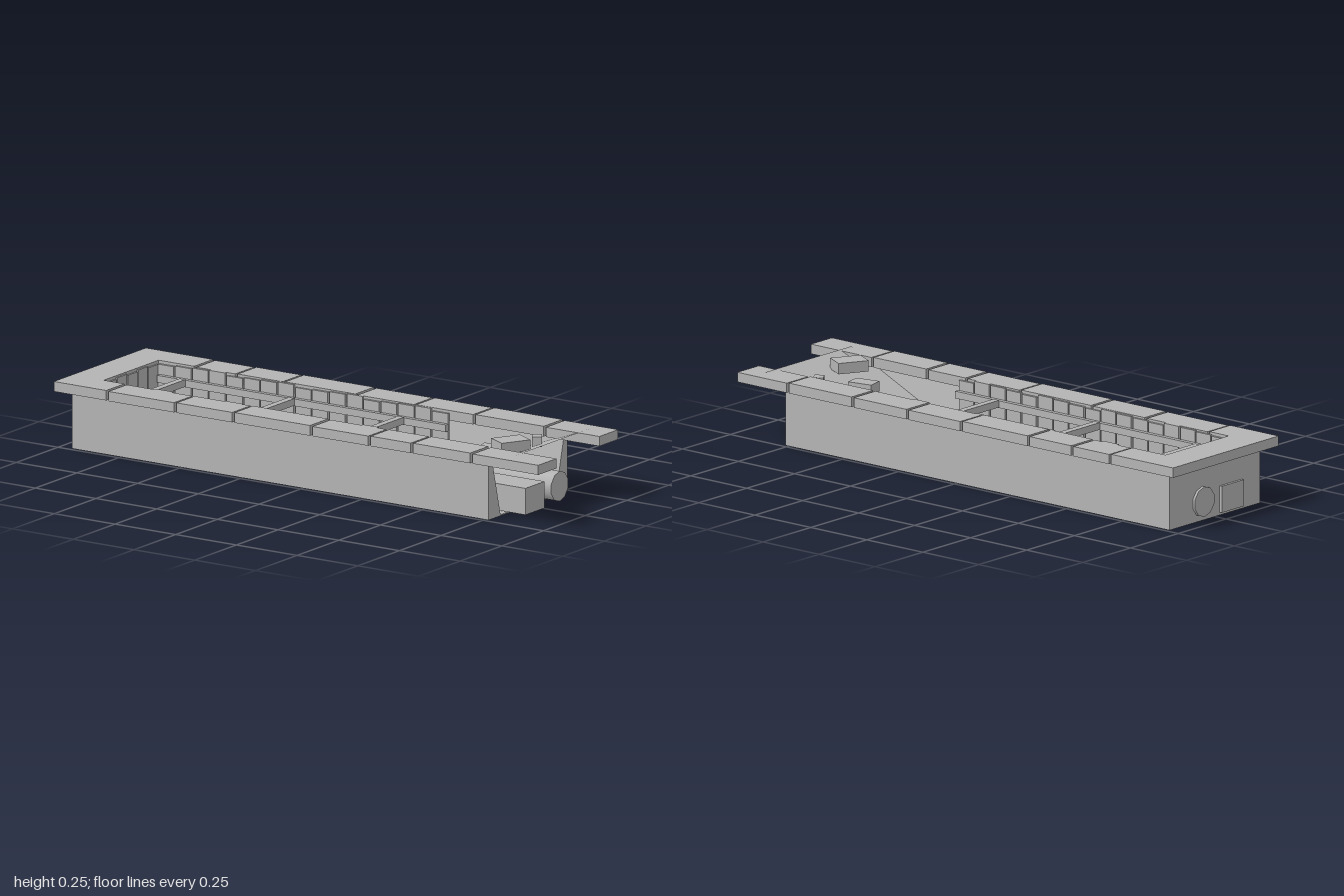
import * as THREE from 'three';

const stone = new THREE.MeshStandardMaterial({ name: 'grey', color: 0xb4b4b4 });
const sheet = new THREE.MeshStandardMaterial({ name: 'greySheet', color: 0xb4b4b4, side: THREE.DoubleSide });
const dark = new THREE.MeshStandardMaterial({ name: 'darkRubber', color: 0x303030 });

export function createModel() {
  const model = new THREE.Group();
  model.name = 'utilityTrench';

  const add = (name, geometry, material = stone) => {
    const mesh = new THREE.Mesh(geometry, material);
    mesh.name = name;
    model.add(mesh);
    return mesh;
  };
  // Box given by its limits on each axis
  const box = (name, x0, x1, y0, y1, z0, z1, material) => {
    const mesh = add(name, new THREE.BoxGeometry(x1 - x0, y1 - y0, z1 - z0), material);
    mesh.position.set((x0 + x1) / 2, (y0 + y1) / 2, (z0 + z1) / 2);
    return mesh;
  };
  // Round bar lying along x
  const bar = (name, x0, x1, y, z, r, sides) => {
    const geometry = new THREE.CylinderGeometry(r, r, x1 - x0, sides);
    geometry.rotateY(Math.PI / 2).rotateZ(Math.PI / 2);
    const mesh = add(name, geometry);
    mesh.position.set((x0 + x1) / 2, y, z);
    return mesh;
  };
  const polygon = (points) => new THREE.Shape(points.map(([a, b]) => new THREE.Vector2(a, b)));

  // Trench shell: floor, end wall and battered side walls
  box('floor', -0.95, 0.765, 0, 0.004, -0.17, 0.17);
  box('endWall', -0.95, -0.872, 0, 0.2, -0.236, 0.236);
  for (const s of [-1, 1]) {
    const profile = polygon([[0.237 * s, 0], [0.237 * s, 0.2], [0.215 * s, 0.2], [0.165 * s, 0]]);
    const geometry = new THREE.ExtrudeGeometry(profile, { depth: 1.715, bevelEnabled: false });
    geometry.rotateY(Math.PI / 2).translate(-0.95, 0, 0);
    add('sideWall', geometry);
  }

  // Paving around the rim: a U-shaped end slab and two rows of slabs
  const rim = polygon([
    [-1, -0.278], [-0.724, -0.278], [-0.724, -0.165], [-0.87, -0.165],
    [-0.87, 0.165], [-0.784, 0.165], [-0.784, 0.275], [-1, 0.275],
  ]);
  const rimGeometry = new THREE.ExtrudeGeometry(rim, { depth: 0.035, bevelEnabled: false });
  rimGeometry.rotateX(Math.PI / 2).translate(0, 0.236, 0);
  add('endSlab', rimGeometry);
  const slabRow = (joints, z0, z1) => {
    for (let i = 0; i < joints.length - 1; i++) {
      const end = joints[i + 1] - (i < joints.length - 2 ? 0.005 : 0);
      box('pavingSlab', joints[i] + 0.005, end, 0.2, 0.234 + (i % 3) * 0.001, z0, z1);
    }
  };
  slabRow([-0.72, -0.55, -0.355, -0.055, 0.185, 0.43, 0.72, 0.945], -0.278, -0.165);
  slabRow([-0.78, -0.5, -0.26, 0.06, 0.3, 0.475, 0.72, 0.995], 0.165, 0.275);

  // Earth ramp closing the open end
  const ramp = new THREE.BufferGeometry();
  ramp.setAttribute('position', new THREE.Float32BufferAttribute([
    0.25, 0, 0.165, 0.865, 0.237, 0.224, 0.865, 0.237, -0.224, 0.25, 0, -0.165,
  ], 3));
  ramp.setIndex([0, 1, 2, 0, 2, 3]);
  ramp.computeVertexNormals();
  add('earthRamp', ramp, sheet);

  // Loose stones on the ramp: x, y, z, width, height, depth, turn
  for (const [x, y, z, w, h, d, turn] of [
    [0.74, 0.226, 0.068, 0.08, 0.038, 0.11, -0.5],
    [0.733, 0.203, -0.1, 0.035, 0.035, 0.04, 0.6],
    [0.635, 0.177, 0.02, 0.09, 0.036, 0.06, 0.2],
    [0.57, 0.143, -0.065, 0.042, 0.034, 0.062, 0.2],
    [0.522, 0.123, 0.045, 0.038, 0.032, 0.055, 0.1],
  ]) {
    const rock = add('looseStone', new THREE.BoxGeometry(w, h, d));
    rock.position.set(x, y, z);
    rock.rotation.y = turn;
  }

  // Upright shoring boards on the sides and the end
  const count = 17;
  const pitch = 1.2 / count;
  for (const s of [-1, 1]) {
    for (let i = 0; i < count; i++) {
      const x = -0.87 + i * pitch;
      const z = s * (0.16 + ((i * 7) % 3) * 0.0015);
      box('shoringBoard', x + 0.003, x + pitch - 0.003, 0.004, 0.225 + ((i * 5) % 4) * 0.003, z - 0.005, z + 0.005);
    }
    box('waler', -0.86, 0.33, 0.165, 0.19, s * 0.147 - 0.008, s * 0.147 + 0.008);
  }
  for (let i = 0; i < 5; i++) {
    const z = -0.155 + i * 0.062;
    box('endBoard', -0.873, -0.864, 0.004, 0.225 + (i % 2) * 0.005, z + 0.003, z + 0.059);
  }
  // Cross struts
  for (const x of [-0.755, -0.305, 0.145]) {
    box('strut', x - 0.0125, x + 0.0125, 0.167, 0.192, -0.14, 0.14);
  }

  // Main pipe with collar and saddles, and the square duct beside it
  bar('mainPipe', -0.96, 0.85, 0.067, -0.065, 0.053, 10);
  bar('pipeCollar', -0.22, -0.18, 0.067, -0.065, 0.059, 10);
  for (const x of [-0.7, -0.2, 0.3]) box('pipeSaddle', x - 0.02, x + 0.02, 0.004, 0.024, -0.104, -0.05);
  box('squareDuct', -0.96, 0.85, 0.01, 0.103, 0.025, 0.14);

  // Bundle of thin conduits on the duct
  for (let i = 0; i < 5; i++) {
    bar('conduit', -0.47, i === 2 ? 0.28 : 0.19, 0.113, 0.04 + i * 0.02, 0.0095, 8);
  }

  // Dark strip between pipe and duct
  const strip = polygon([[-0.66, 0.012], [-0.57, -0.008], [-0.12, -0.01], [-0.09, 0], [-0.1, 0.014]]);
  const stripGeometry = new THREE.ExtrudeGeometry(strip, { depth: 0.012, bevelEnabled: false });
  stripGeometry.rotateX(Math.PI / 2).translate(0, 0.1, 0);
  add('darkStrip', stripGeometry, dark);

  return model;
}
